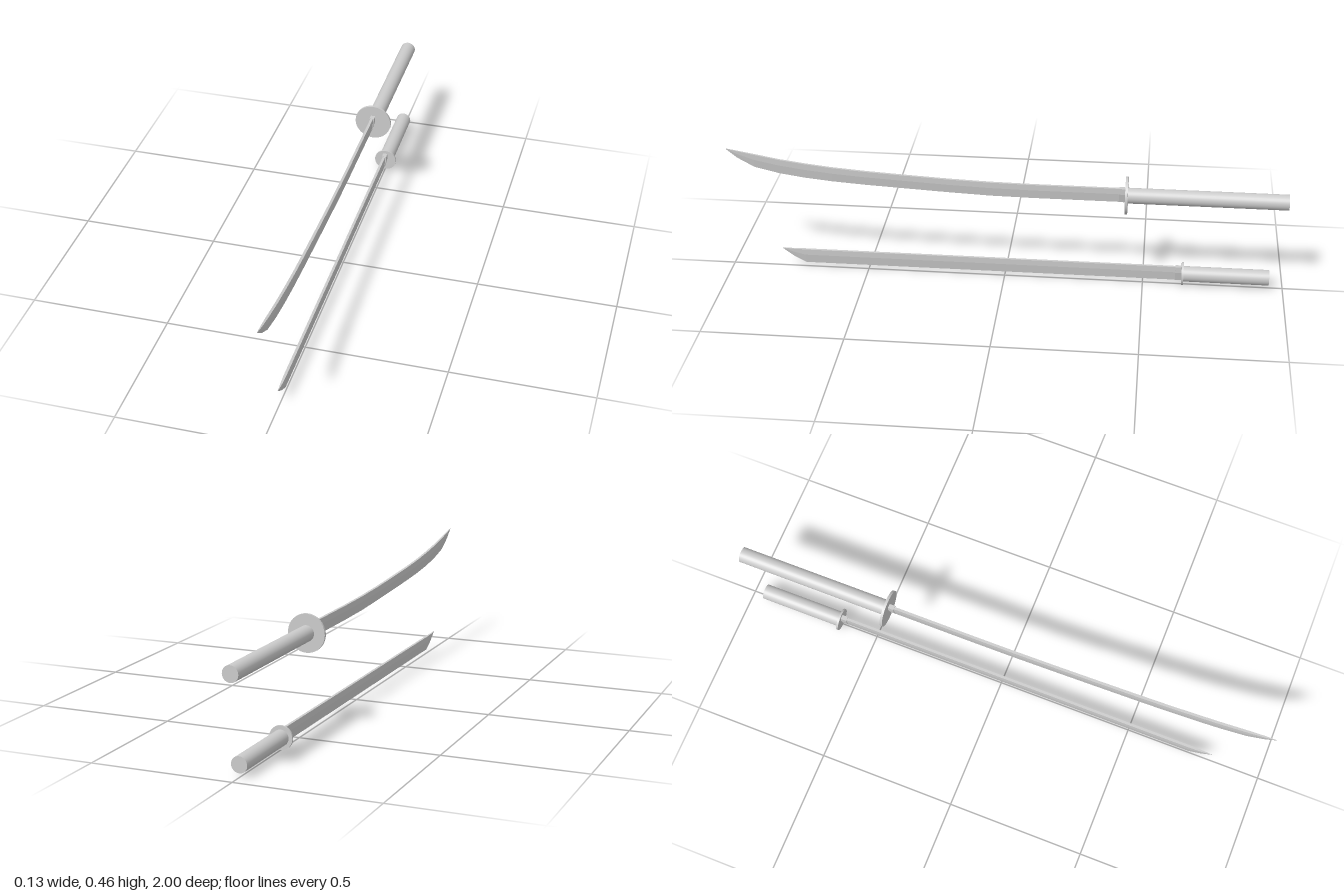
import * as THREE from 'three';

const steel = new THREE.MeshStandardMaterial({ color: 0xcccccc, flatShading: true });
const smooth = new THREE.MeshStandardMaterial({ color: 0xcccccc });

// Lofts a five-sided blade section along z; each station is [z, spineY, edgeY, halfWidth]
function loftBlade(stations, ridge = 0.4) {
  const pos = [], idx = [], n = 5;
  for (const [z, top, bottom, w] of stations) {
    const mid = top + (bottom - top) * ridge;
    pos.push(w, top, z, -w, top, z, -w * 0.95, mid, z, 0, bottom, z, w * 0.95, mid, z);
  }
  for (let i = 0; i < stations.length - 1; i++) {
    for (let k = 0; k < n; k++) {
      const a = i * n + k, b = i * n + (k + 1) % n;
      idx.push(a, b, b + n, a, b + n, a + n);
    }
  }
  const e = (stations.length - 1) * n;
  for (let k = 1; k < n - 1; k++) idx.push(0, k + 1, k, e, e + k, e + k + 1);
  const indexed = new THREE.BufferGeometry();
  indexed.setAttribute('position', new THREE.Float32BufferAttribute(pos, 3));
  indexed.setIndex(idx);
  const geo = indexed.toNonIndexed();
  geo.computeVertexNormals();
  return geo;
}

// Cylinder lying along z between two depths
function rod(name, radius, z0, z1, y, segments) {
  const geo = new THREE.CylinderGeometry(radius, radius, z1 - z0, segments);
  geo.rotateX(Math.PI / 2);
  const mesh = new THREE.Mesh(geo, smooth);
  mesh.name = name;
  mesh.position.set(0, y, (z0 + z1) / 2);
  return mesh;
}

function sword({ name, y, back, guardZ, guardR, guardT, blade }) {
  const group = new THREE.Group();
  group.name = name;
  group.add(rod('handle', 0.028, back, guardZ, y, 32));
  group.add(rod('guard', guardR, guardZ - guardT / 2, guardZ + guardT / 2, y, 48));

  const bladeMesh = new THREE.Mesh(loftBlade(blade), steel);
  bladeMesh.name = 'blade';

  // Wedge collar wrapping the root of the blade
  const [, top, bottom] = blade[0];
  const collar = new THREE.Mesh(loftBlade([
    [guardZ, top + 0.001, bottom - 0.001, 0.0085],
    [guardZ + 0.026, top + 0.001, bottom - 0.001, 0.0085],
  ]), steel);
  collar.name = 'collar';
  group.add(bladeMesh, collar);
  return group;
}

export function createModel() {
  const model = new THREE.Group();
  model.name = 'swordPair';

  // Long curved sword
  model.add(sword({
    name: 'longSword', y: 0.345, back: -1, guardZ: -0.432, guardR: 0.067, guardT: 0.009,
    blade: [
      [-0.432, 0.372, 0.319, 0.0048],
      [-0.1, 0.372, 0.319, 0.0048],
      [0.05, 0.374, 0.321, 0.0048],
      [0.2, 0.379, 0.327, 0.0048],
      [0.36, 0.387, 0.335, 0.0048],
      [0.5, 0.395, 0.342, 0.0048],
      [0.62, 0.404, 0.35, 0.0047],
      [0.72, 0.415, 0.36, 0.0046],
      [0.81, 0.427, 0.373, 0.0045],
      [0.9, 0.443, 0.394, 0.0042],
      [0.96, 0.454, 0.427, 0.003],
      [1, 0.462, 0.459, 0.0004],
    ],
  }));

  // Short straight sword
  model.add(sword({
    name: 'shortSword', y: 0.042, back: -0.95, guardZ: -0.642, guardR: 0.0415, guardT: 0.007,
    blade: [
      [-0.642, 0.07, 0.016, 0.0048],
      [0.732, 0.07, 0.016, 0.0048],
      [0.775, 0.07, 0.039, 0.0035],
      [0.8, 0.071, 0.057, 0.0018],
      [0.817, 0.072, 0.07, 0.0003],
    ],
  }));
  return model;
}
